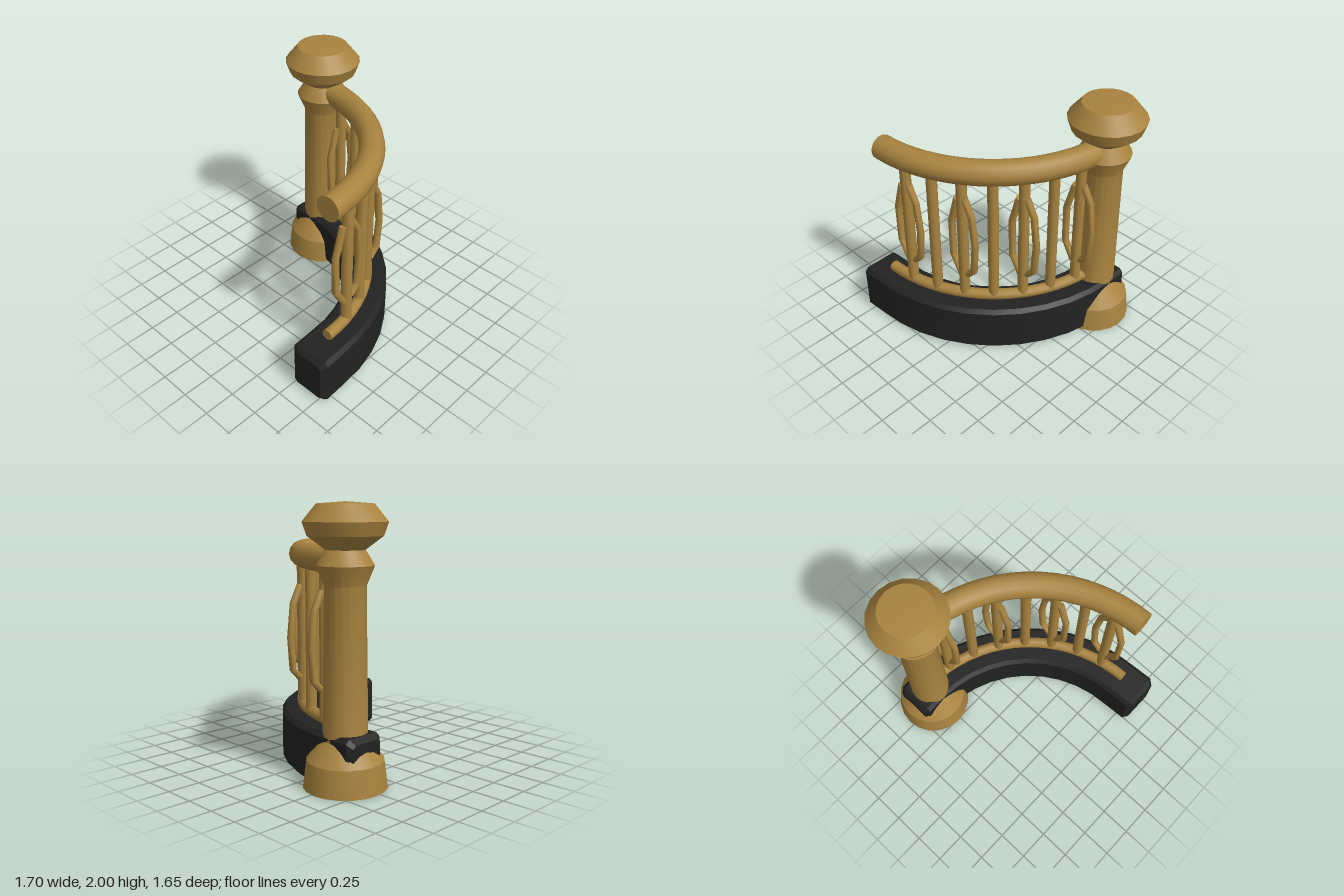
import * as THREE from 'three';
import { toCreasedNormals } from 'three/addons/utils/BufferGeometryUtils.js';

const R = 1.17, CX = -0.63, CZ = -0.53;   // quarter circle followed by rails and base
const UP = new THREE.Vector3(0, 1, 0), FRONT = new THREE.Vector3(0, 0, 1);

// Point on the arc: t = 0 at the free end, t = 1 at the post
function onArc(t, y) {
  const a = t * Math.PI / 2;
  return new THREE.Vector3(CX + R * Math.sin(a), y, CZ + R * Math.cos(a));
}
const arc = (n, y) => Array.from({ length: n + 1 }, (_, i) => onArc(i / n, y));

const circle = (r, n) => Array.from({ length: n }, (_, i) => {
  const a = i / n * Math.PI * 2;
  return [r * Math.cos(a), r * Math.sin(a)];
});

// Sweep a closed section along a planar path, with flat caps and optional ring scales
function sweep(path, section, normal, crease, scales = []) {
  const last = path.length - 1, pos = [];
  const rings = path.map((p, i) => {
    const t = path[Math.min(i + 1, last)].clone().sub(path[Math.max(i - 1, 0)]).normalize();
    const side = t.cross(normal).normalize(), s = scales[i] ?? 1;
    return section.map(([u, v]) => p.clone().addScaledVector(side, u * s).addScaledVector(normal, v * s));
  });
  const tri = (...pts) => pts.forEach(p => pos.push(p.x, p.y, p.z));
  section.forEach((_, j) => {
    const k = (j + 1) % section.length;
    for (let i = 0; i < last; i++) {
      tri(rings[i][j], rings[i + 1][j], rings[i + 1][k]);
      tri(rings[i][j], rings[i + 1][k], rings[i][k]);
    }
    tri(path[0], rings[0][j], rings[0][k]);
    tri(path[last], rings[last][k], rings[last][j]);
  });
  const g = new THREE.BufferGeometry();
  g.setAttribute('position', new THREE.Float32BufferAttribute(pos, 3));
  return toCreasedNormals(g, crease);
}

export function createModel() {
  const wood = new THREE.MeshStandardMaterial({ color: 0xa8833f });
  wood.name = 'wood';
  const black = new THREE.MeshStandardMaterial({ color: 0x222222 });
  black.name = 'black';

  const model = new THREE.Group();
  model.name = 'curvedBalustrade';
  const add = (name, geometry, material, parent = model) => {
    const m = new THREE.Mesh(geometry, material);
    m.name = name;
    parent.add(m);
    return m;
  };

  // Newel post with flared foot, collar and finial
  const profile = [[0, 0], [0.305, 0], [0.28, 0.2], [0.168, 0.345], [0.162, 0.4], [0.148, 1.43],
    [0.205, 1.57], [0.14, 1.675], [0.265, 1.77], [0.298, 1.865], [0.2, 1.985], [0, 2]]
    .map(([x, y]) => new THREE.Vector2(x, y));
  const post = add('newelPost', toCreasedNormals(new THREE.LatheGeometry(profile, 20), 0.4), wood);
  post.position.set(CX + R, 0, CZ);

  // Curved base block with chamfered edges and ends
  const w = 0.165, h = 0.2, c = 0.03;
  const block = [[w, -h + c], [w, h - c], [w - c, h], [c - w, h], [-w, h - c], [-w, c - h], [c - w, -h], [w - c, -h]];
  const basePath = [
    new THREE.Vector3(-0.85, h, 0.65), new THREE.Vector3(-0.81, h, 0.65),
    ...arc(10, h),
    new THREE.Vector3(CX + R, h, -0.7), new THREE.Vector3(CX + R, h, -0.74)];
  const scales = basePath.map((_, i) => (i === 0 || i === basePath.length - 1 ? 0.8 : 1));
  add('base', sweep(basePath, block, UP, 0.45, scales), black);

  // Rails
  add('handrail', sweep(arc(18, 1.603), circle(0.098, 14), UP, 0.7), wood);
  add('bottomRail', sweep(arc(18, 0.445), circle(0.045, 10), UP, 0.8), wood);

  // Balusters, every second one with a pair of bowed side bars
  const balusterGeo = new THREE.CylinderGeometry(0.042, 0.042, 1.09, 10);
  const bar = pts => sweep(pts.map(([x, y]) => new THREE.Vector3(x, y, 0)), circle(0.028, 8), FRONT, 0.8);
  const bars = {
    rightBow: bar([[-0.05, 1.345], [-0.122, 1.1], [-0.118, 0.78], [-0.026, 0.625]]),
    leftBow: bar([[0.03, 1.375], [0.102, 1.24], [0.132, 0.98], [0.112, 0.73], [0.04, 0.66]])
  };
  for (let k = 1; k <= 7; k++) {
    const g = new THREE.Group();
    g.name = 'baluster' + k;
    g.position.copy(onArc(k / 8, 0));
    add('spindle', balusterGeo, wood, g).position.y = 1.005;
    if (k % 2) for (const name in bars) add(name, bars[name], wood, g);
    model.add(g);
  }
  return model;
}
